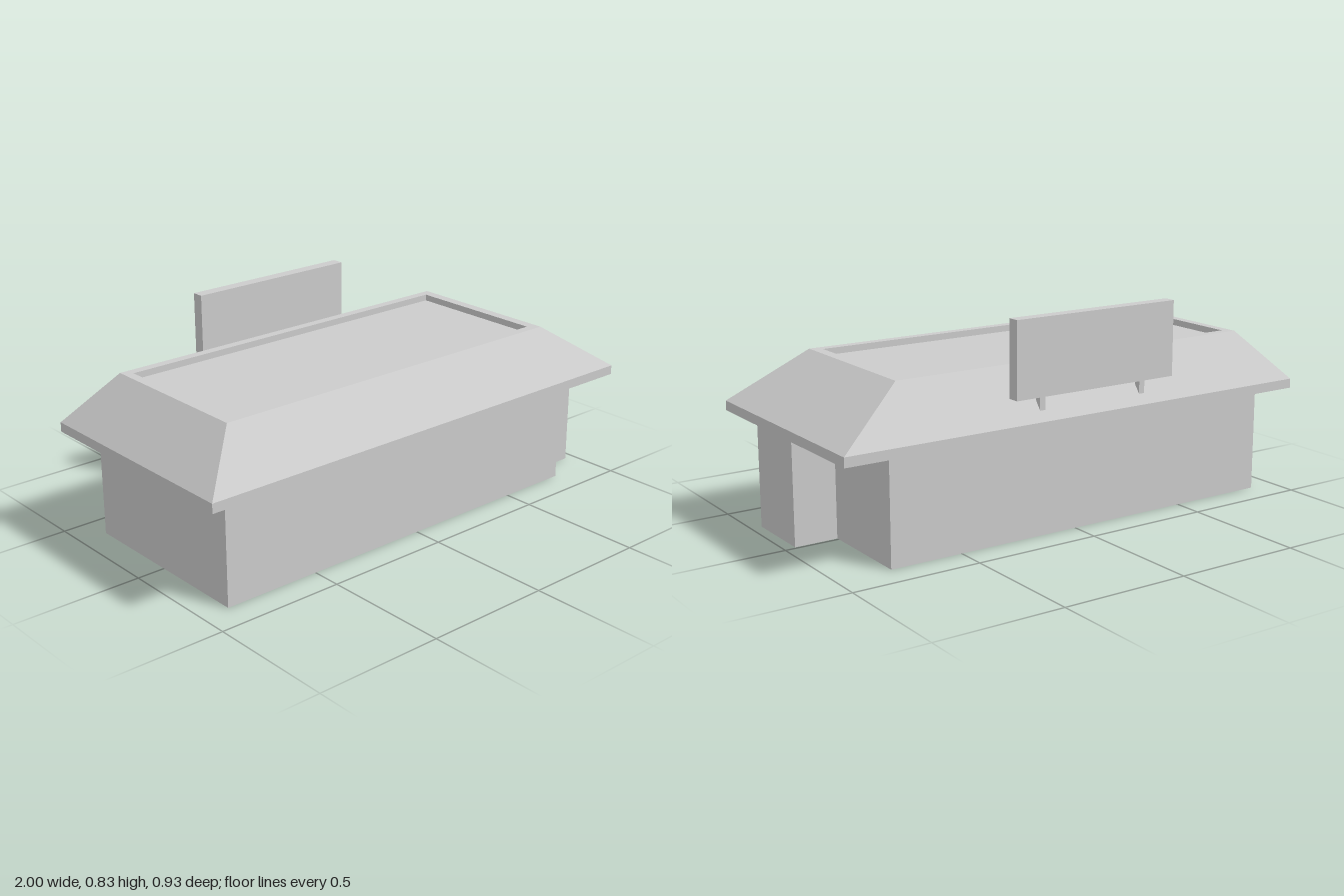
import * as THREE from 'three';

const material = new THREE.MeshStandardMaterial({
  color: 0xcccccc, flatShading: true, side: THREE.DoubleSide,
});

// Skins a stack of rectangular rings [x0, x1, z0, z1, y]; sides run front, +x, back, -x.
function ringShell(name, rings, { sides = 4, cap = false } = {}) {
  const corners = rings.map(([x0, x1, z0, z1, y]) =>
    [[x0, y, z1], [x1, y, z1], [x1, y, z0], [x0, y, z0]]);
  const positions = [];
  const quad = (a, b, c, d) => positions.push(...a, ...b, ...c, ...a, ...c, ...d);
  for (let r = 0; r < corners.length - 1; r++) {
    const low = corners[r], high = corners[r + 1];
    for (let i = 0; i < sides; i++) {
      const j = (i + 1) % 4;
      quad(low[i], low[j], high[j], high[i]);
    }
  }
  if (cap) quad(...corners[corners.length - 1]);
  const geometry = new THREE.BufferGeometry();
  geometry.setAttribute('position', new THREE.Float32BufferAttribute(positions, 3));
  geometry.computeVertexNormals();
  const mesh = new THREE.Mesh(geometry, material);
  mesh.name = name;
  return mesh;
}

function box(name, x0, x1, y0, y1, z0, z1) {
  const mesh = new THREE.Mesh(new THREE.BoxGeometry(x1 - x0, y1 - y0, z1 - z0), material);
  mesh.position.set((x0 + x1) / 2, (y0 + y1) / 2, (z0 + z1) / 2);
  mesh.name = name;
  return mesh;
}

export function createModel() {
  const model = new THREE.Group();
  model.name = 'building';
  const eaveY = 0.418, roofY = 0.645;
  const body = [-0.89, 0.787, -0.384, 0.384];
  const annex = [0.787, 0.957, 0.01, 0.29];
  const eave = [-1, 1, -0.467, 0.467];
  const deck = [-0.825, 0.72, -0.322, 0.322];
  const recess = [-0.79, 0.68, -0.287, 0.287];

  // Main walls, open below and above
  model.add(ringShell('walls', [[...body, 0], [...body, eaveY]]));

  // Three-sided entrance block against the +x wall
  model.add(ringShell('entranceBlock', [[...annex, 0], [...annex, eaveY]], { sides: 3 }));

  // Hollow roof: soffit, fascia, slopes, rim and sunken flat deck
  model.add(ringShell('roof', [
    [...body, eaveY],
    [...eave, eaveY],
    [...eave, 0.455],
    [...deck, roofY],
    [...recess, roofY],
    [...recess, roofY - 0.025],
  ], { cap: true }));

  // Sign board on two short posts over the back slope
  const sign = new THREE.Group();
  sign.name = 'roofSign';
  sign.add(box('signBoard', -0.395, 0.31, 0.542, 0.83, -0.452, -0.406));
  for (const x of [-0.26, 0.19]) {
    sign.add(box('signPost', x - 0.012, x + 0.012, 0.488, 0.542, -0.44, -0.415));
  }
  model.add(sign);

  return model;
}
